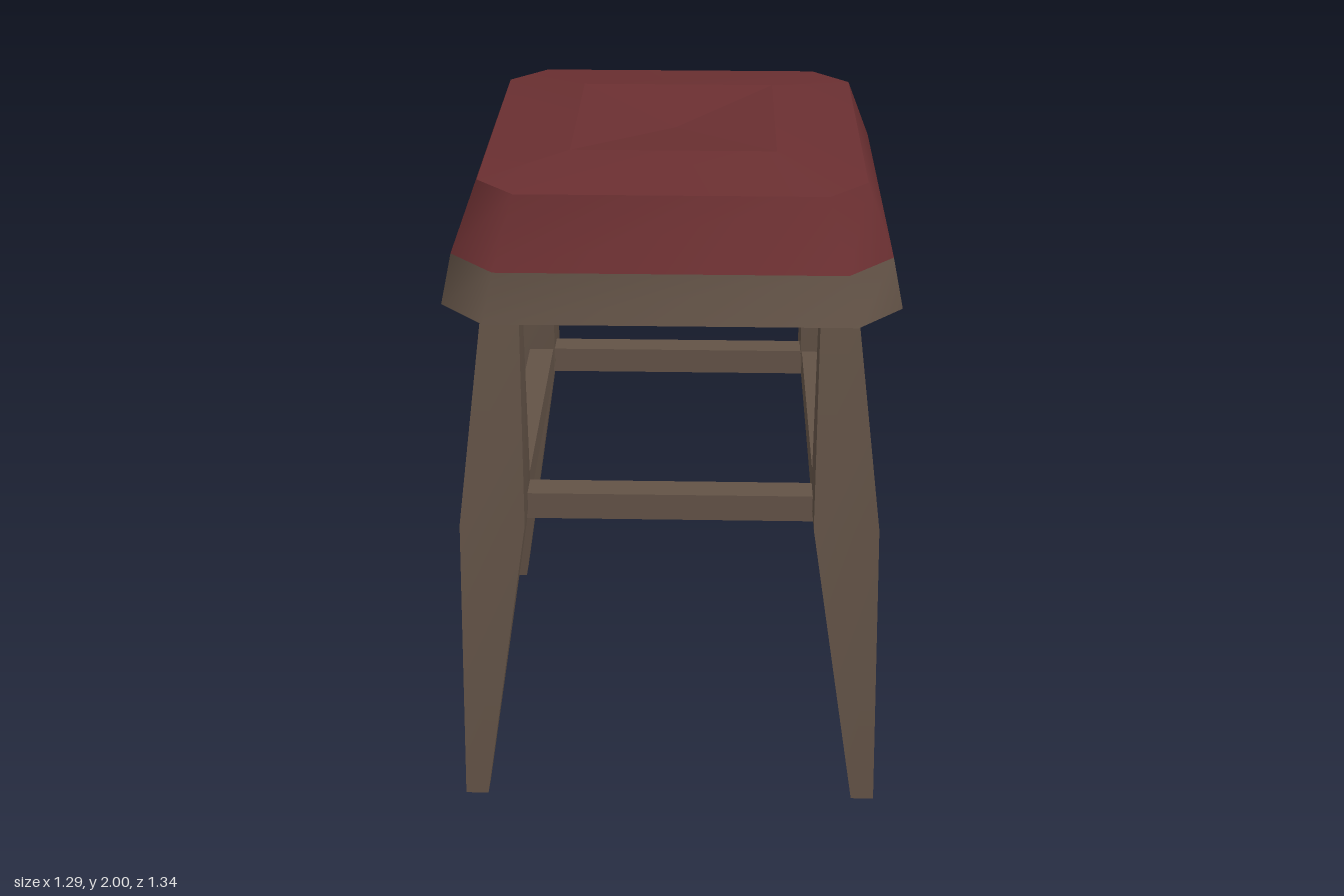
import * as THREE from 'three';
import { toCreasedNormals } from 'three/addons/utils/BufferGeometryUtils.js';

// Skins a stack of equal-length rings (listed bottom to top, counter-clockwise seen from above)
function loft(rings, { capBottom = false, capTop = false } = {}) {
  const n = rings[0].length;
  const pos = rings.flat(2);
  const idx = [];
  for (let r = 0; r < rings.length - 1; r++) {
    for (let i = 0; i < n; i++) {
      const a = r * n + i, b = r * n + (i + 1) % n;
      idx.push(a, b, b + n, a, b + n, a + n);
    }
  }
  const last = (rings.length - 1) * n;
  for (let i = 1; i < n - 1; i++) {
    if (capBottom) idx.push(0, i + 1, i);
    if (capTop) idx.push(last, last + i, last + i + 1);
  }
  const g = new THREE.BufferGeometry();
  g.setAttribute('position', new THREE.Float32BufferAttribute(pos, 3));
  g.setIndex(idx);
  return g;
}

// Rectangle with cut corners at height y
function octagon(y, x, z, c) {
  return [
    [x, y, z - c], [x, y, -z + c], [x - c, y, -z], [-x + c, y, -z],
    [-x, y, -z + c], [-x, y, z - c], [-x + c, y, z], [x - c, y, z],
  ];
}

// Plain rectangle at height y
function rect(y, x0, x1, z0, z1) {
  return [[x1, y, z1], [x1, y, z0], [x0, y, z0], [x0, y, z1]];
}

export function createModel() {
  const wood = new THREE.MeshStandardMaterial({ color: 0x625246 });
  wood.name = 'brown wood';
  const leather = new THREE.MeshStandardMaterial({ color: 0x6a2f31 });
  leather.name = 'dark red leather';

  const model = new THREE.Group();
  model.name = 'stool';
  const add = (parent, name, geometry, material) => {
    const mesh = new THREE.Mesh(geometry, material);
    mesh.name = name;
    parent.add(mesh);
    return mesh;
  };
  const crease = (g, degrees) => toCreasedNormals(g, THREE.MathUtils.degToRad(degrees));

  // Seat: wooden rim, padded cushion and a shallow dip in the middle
  const seam = octagon(1.77, 0.612, 0.637, 0.13);
  add(model, 'seatRim', crease(loft([octagon(1.63, 0.642, 0.668, 0.13), seam], { capBottom: true }), 50), wood);
  const cushion = [seam, octagon(1.965, 0.537, 0.557, 0.11), octagon(2, 0.29, 0.3, 0.004)];
  add(model, 'cushion', crease(loft(cushion), 50), leather);
  const dip = [rect(2, -0.29, 0.29, -0.3, 0.3), rect(1.965, 0, 0, 0, 0)];
  add(model, 'cushionDip', crease(loft(dip), 1), leather);

  // Legs and rails sit very slightly off the seat's centre
  const frame = new THREE.Group();
  frame.name = 'frame';
  frame.position.set(-0.005, 0, 0.013);
  model.add(frame);

  // Legs: [height, inner x, outer x, inner z, outer z]
  const profile = [
    [0, 0.57, 0.64, 0.588, 0.657],
    [0.97, 0.42, 0.61, 0.442, 0.628],
    [1.64, 0.42, 0.523, 0.442, 0.536],
  ];
  for (const sx of [-1, 1]) {
    for (const sz of [-1, 1]) {
      const rings = profile.map(([y, xi, xo, zi, zo]) => {
        const xs = sx > 0 ? [xi, xo] : [-xo, -xi];
        const zs = sz > 0 ? [zi, zo] : [-zo, -zi];
        return rect(y, ...xs, ...zs);
      });
      const name = (sz > 0 ? 'front' : 'back') + (sx > 0 ? 'Left' : 'Right') + 'Leg';
      add(frame, name, crease(loft(rings, { capBottom: true, capTop: true }), 20), wood);
    }
  }

  // Rails between the legs
  for (const s of [-1, 1]) {
    const across = add(frame, s > 0 ? 'frontRail' : 'backRail', new THREE.BoxGeometry(0.86, 0.085, 0.08), wood);
    across.position.set(0, 0.978, s * 0.485);
    const along = add(frame, s > 0 ? 'leftRail' : 'rightRail', new THREE.BoxGeometry(0.08, 0.085, 0.9), wood);
    along.position.set(s * 0.465, 0.978, 0);
  }
  return model;
}
